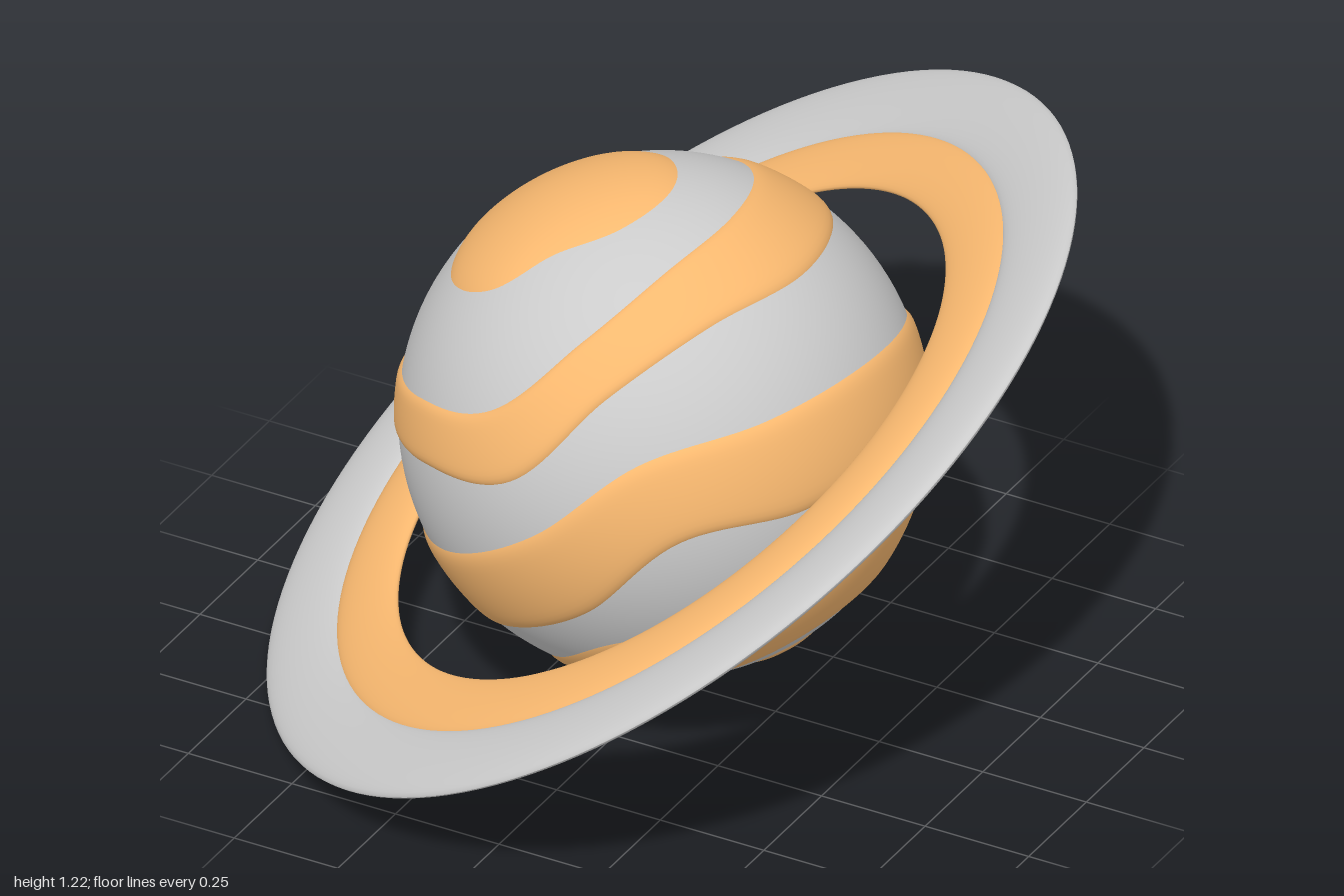
import * as THREE from 'three';
import { mergeVertices } from 'three/addons/utils/BufferGeometryUtils.js';

const GREY = new THREE.MeshStandardMaterial({ color: 0xcccccc });
const ORANGE = new THREE.MeshStandardMaterial({ color: 0xf9b970 });
const RADIUS = 0.558, RAISE = 0.009;

// Wavy band edges: latitude in degrees at every 30 degrees of longitude, top to bottom
const EDGES = [
  [90],
  [57, 57, 60, 57, 60, 66, 70, 72, 72, 70, 66, 61],
  [42, 41, 36, 29, 34, 37, 38, 43, 47, 47, 45, 43],
  [22, 25, 22, 13, 20, 24, 21, 24, 27, 27, 25, 23],
  [-2, 1, 6, 0, -1, 2, 6, 4, 0, -3, -5, -4],
  [-23, -22, -14, -22, -23, -22, -17, -18, -20, -22, -21, -22],
  [-39, -45, -45, -34, -36, -38, -39, -40, -42, -44, -44, -42],
  [-64, -65, -66, -66, -68, -70, -71, -70, -68, -66, -65, -64],
  [-80],
  [-90],
];

// Smooth periodic interpolation of an edge, u in 0..1 around the planet
function latitude(edge, u) {
  const n = edge.length, f = u * n, i = Math.floor(f), t = f - i;
  const [a, b, c, d] = [-1, 0, 1, 2].map((k) => edge[(i + k + n) % n]);
  const deg = b + 0.5 * t * (c - a + t * (2 * a - 5 * b + 4 * c - d + t * (3 * (b - c) + d - a)));
  return THREE.MathUtils.degToRad(deg);
}

// One strip of the sphere between two edges; raised strips swell with soft borders
function bandGeometry(top, bottom, raise) {
  const cols = 144, rows = 16, pos = [], index = [];
  for (let r = 0; r <= rows; r++) {
    const t = (1 - Math.cos((Math.PI * r) / rows)) / 2;
    // a polar cap only slopes down at its open border
    const s = top.length === 1 && top[0] === 90 ? t : bottom[0] === -90 ? 1 - t : Math.abs(2 * t - 1);
    const radius = RADIUS + raise * (1 - s ** 8);
    for (let c = 0; c < cols; c++) {
      const u = c / cols, lon = u * Math.PI * 2;
      const lat = THREE.MathUtils.lerp(latitude(top, u), latitude(bottom, u), t);
      pos.push(
        radius * Math.cos(lat) * Math.cos(lon),
        radius * Math.sin(lat),
        radius * Math.cos(lat) * Math.sin(lon)
      );
      if (r < rows) {
        const n = (c + 1) % cols, a = r * cols + c, b = r * cols + n;
        index.push(a, b, a + cols, b, b + cols, a + cols);
      }
    }
  }
  const g = new THREE.BufferGeometry();
  g.setAttribute('position', new THREE.Float32BufferAttribute(pos, 3));
  g.setIndex(index);
  const merged = mergeVertices(g, 1e-5);
  merged.computeVertexNormals();
  return merged;
}

// Flat ring with a thin rounded cross-section
function ringGeometry(inner, outer, half) {
  const pts = [], n = 32;
  for (let i = 0; i <= n; i++) {
    const a = (i / n) * Math.PI * 2;
    pts.push(new THREE.Vector2(
      (inner + outer) / 2 + ((outer - inner) / 2) * Math.cos(a),
      half * Math.sin(a)
    ));
  }
  return new THREE.LatheGeometry(pts, 144);
}

function add(parent, name, geometry, material) {
  const mesh = new THREE.Mesh(geometry, material);
  mesh.name = name;
  parent.add(mesh);
}

export function createModel() {
  const model = new THREE.Group();
  model.name = 'ringedPlanet';

  // Planet, leaning sideways
  const planet = new THREE.Group();
  planet.name = 'planet';
  planet.position.set(-0.02, 0.655, 0.005);
  planet.rotation.z = THREE.MathUtils.degToRad(31);
  for (let i = 0; i < EDGES.length - 1; i++) {
    const raised = i % 2 === 0;
    add(planet, (raised ? 'raisedBand' : 'plainBand') + (i + 1),
      bandGeometry(EDGES[i], EDGES[i + 1], raised ? RAISE : 0), raised ? ORANGE : GREY);
  }
  model.add(planet);

  // Rings, also tipped towards the front
  const rings = new THREE.Group();
  rings.name = 'rings';
  rings.position.y = 0.61;
  rings.quaternion.setFromUnitVectors(
    new THREE.Vector3(0, 1, 0),
    new THREE.Vector3(-0.497, 0.813, 0.3).normalize()
  );
  add(rings, 'innerRing', ringGeometry(0.71, 0.868, 0.02), ORANGE);
  add(rings, 'outerRing', ringGeometry(0.858, 1.049, 0.022), GREY);
  model.add(rings);
  return model;
}
